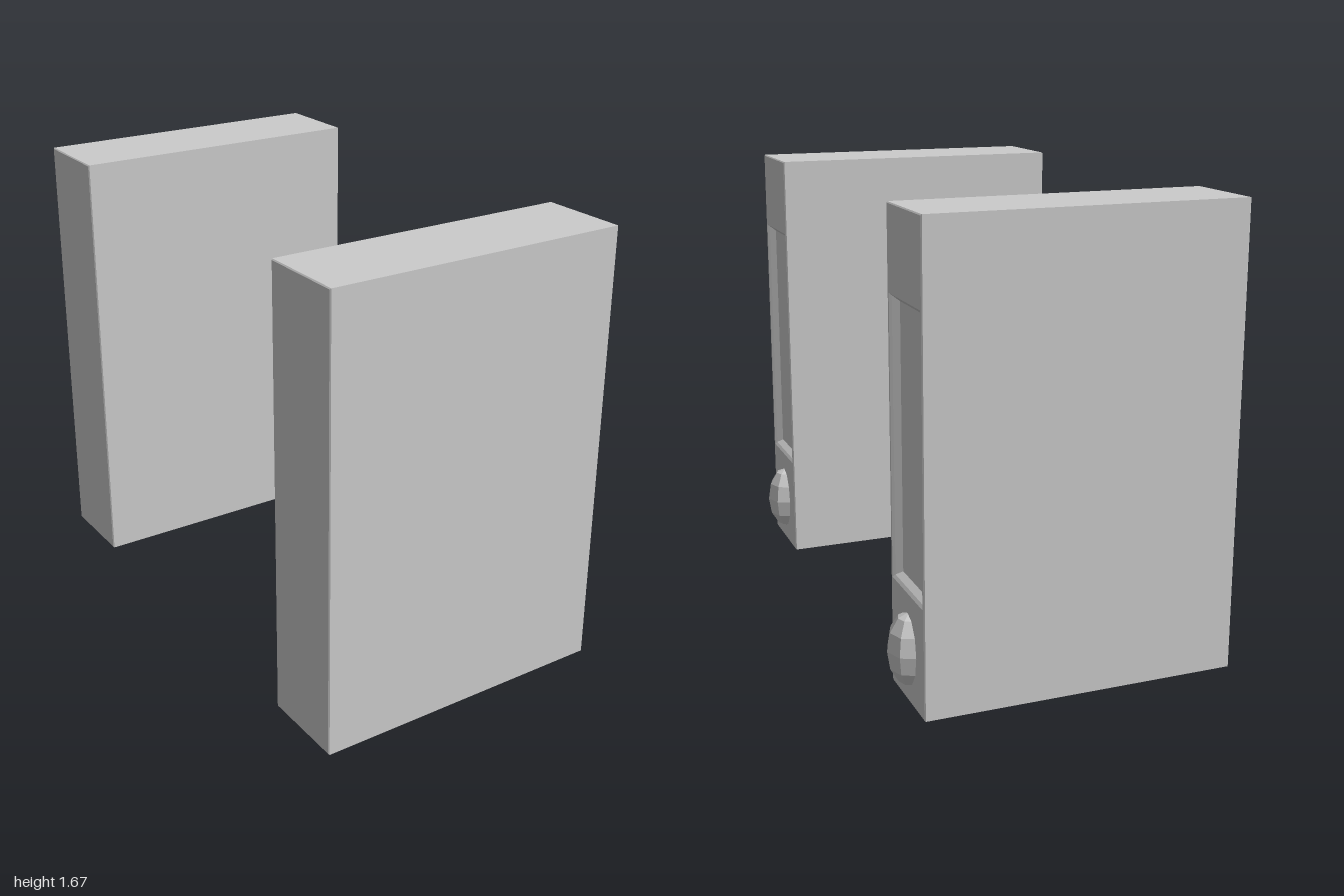
import * as THREE from 'three';

const material = new THREE.MeshStandardMaterial({ color: 0xcccccc, flatShading: true });

// Joins rectangles [x, yMin, yMax, half depth] along x and caps both ends
function loftRectangles(sections) {
  const rings = sections.map(([x, y0, y1, h]) => [[x, y0, -h], [x, y1, -h], [x, y1, h], [x, y0, h]]);
  const positions = [];
  const quad = (a, b, c, d) => positions.push(...a, ...b, ...c, ...a, ...c, ...d);
  for (let r = 0; r < rings.length - 1; r++) {
    const a = rings[r], b = rings[r + 1];
    for (let i = 0; i < 4; i++) {
      const j = (i + 1) % 4;
      quad(a[i], a[j], b[j], b[i]);
    }
  }
  quad(...rings[0].slice().reverse());
  quad(...rings[rings.length - 1]);
  const geometry = new THREE.BufferGeometry();
  geometry.setAttribute('position', new THREE.Float32BufferAttribute(positions, 3));
  geometry.computeVertexNormals();
  return geometry;
}

function createCabinet(name, z) {
  const cabinet = new THREE.Group();
  cabinet.name = name;

  // Slab with a bevelled recess in its +x end
  const body = new THREE.Mesh(loftRectangles([
    [-0.613, 0.004, 1.666, 0.162],
    [-0.609, 0, 1.67, 0.166],
    [0.531, 0, 1.67, 0.166],
    [0.535, 0.004, 1.666, 0.162],
    [0.535, 0.39, 1.375, 0.152],
    [0.527, 0.4, 1.368, 0.145],
    [0.505, 0.415, 1.35, 0.127],
  ]), material);
  body.name = 'cabinetBody';

  // Faceted oval knob, half sunk below the recess
  const knob = new THREE.Mesh(new THREE.SphereGeometry(1, 8, 6), material);
  knob.name = 'ovalKnob';
  knob.scale.set(0.08, 0.132, 0.09);
  knob.position.set(0.528, 0.19, 0);

  cabinet.add(body, knob);
  cabinet.position.z = z;
  return cabinet;
}

export function createModel() {
  const model = new THREE.Group();
  model.name = 'cabinetPair';
  model.add(createCabinet('frontCabinet', 0.834), createCabinet('backCabinet', -0.834));
  return model;
}
